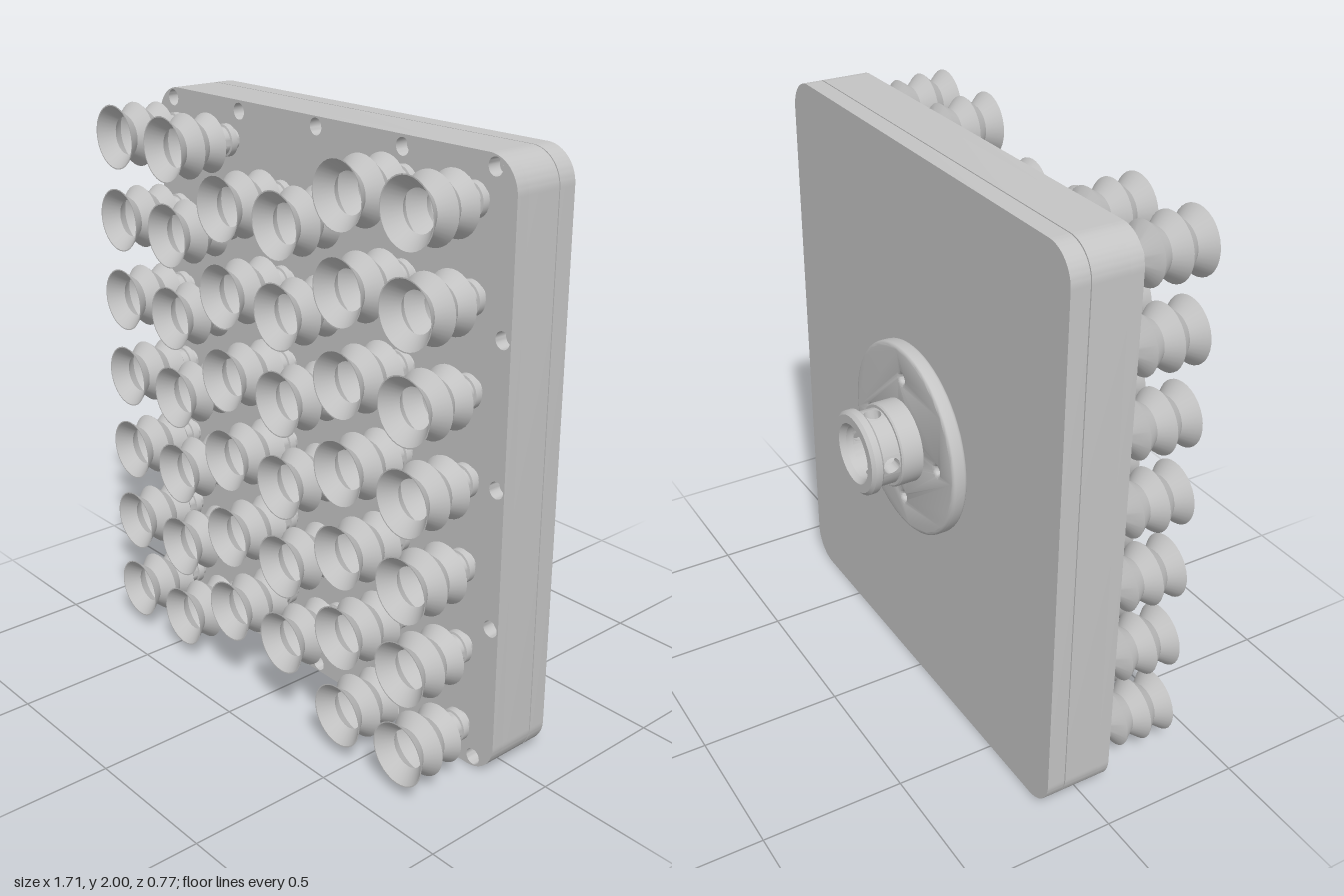
import * as THREE from 'three';
import { toCreasedNormals } from 'three/addons/utils/BufferGeometryUtils.js';

const metal = new THREE.MeshStandardMaterial({ color: 0xc4c4c4 });
const V = (list) => list.map(([r, y]) => new THREE.Vector2(r, y));

function part(name, geometry, parent, x = 0, y = 0, z = 0) {
  const mesh = new THREE.Mesh(geometry, metal);
  mesh.name = name;
  mesh.position.set(x, y, z);
  parent.add(mesh);
  return mesh;
}

const lathe = (points, segments, start = 0, length = Math.PI * 2) =>
  toCreasedNormals(new THREE.LatheGeometry(V(points), segments, start, length), 0.5);

function circleHole(x, y, r) {
  return new THREE.Path().absarc(x, y, r, 0, Math.PI * 2, true);
}

// rounded rectangle slab between two z values, with optional round holes
function slab(halfW, halfH, radius, z0, z1, holes = [], holeR = 0) {
  const s = new THREE.Shape();
  const a = halfW - radius, b = halfH - radius;
  s.absarc(a, b, radius, 0, Math.PI / 2);
  s.absarc(-a, b, radius, Math.PI / 2, Math.PI);
  s.absarc(-a, -b, radius, Math.PI, Math.PI * 1.5);
  s.absarc(a, -b, radius, Math.PI * 1.5, Math.PI * 2);
  s.holes = holes.map(([x, y]) => circleHole(x, y, holeR));
  const g = new THREE.ExtrudeGeometry(s, { depth: z1 - z0, bevelEnabled: false, curveSegments: 12 });
  g.translate(0, 0, z0);
  return toCreasedNormals(g, 0.6);
}

export function createModel() {
  const model = new THREE.Group();
  model.name = 'vacuumGripper';

  // plate: counterbored front layer, body, fine seam and back cover
  const holes = [];
  for (const s of [-1, 1]) {
    holes.push([0, s * 0.967]);
    for (const x of [-0.77, -0.395, 0.395, 0.77]) holes.push([x, s * 0.963]);
    for (const y of [-0.47, 0, 0.47]) holes.push([s * 0.822, y]);
  }
  const plate = new THREE.Group();
  plate.name = 'plate';
  plate.position.y = 1;
  model.add(plate);
  part('plateFront', slab(0.855, 1, 0.11, 0.05, 0.095, holes, 0.028), plate);
  part('plateBody', slab(0.855, 1, 0.11, -0.077, 0.05, holes, 0.016), plate);
  part('plateSeam', slab(0.85, 0.995, 0.105, -0.081, -0.077), plate);
  part('plateCover', slab(0.855, 1, 0.11, -0.145, -0.081), plate);

  // bellows suction cup: outside from stem to lip, then inside back to the floor
  const cup = lathe([
    [0.036, 0.09], [0.036, 0.117], [0.055, 0.117], [0.055, 0.14], [0.048, 0.142],
    [0.048, 0.165], [0.1, 0.199], [0.07, 0.243], [0.109, 0.29], [0.07, 0.334],
    [0.109, 0.382], [0.105, 0.382], [0.064, 0.334], [0.1, 0.29], [0.064, 0.243],
    [0.09, 0.203], [0.046, 0.172], [0.03, 0.172], [0.03, 0.19], [0.016, 0.19],
    [0.016, 0.13], [0, 0.13],
  ], 32);
  cup.rotateX(Math.PI / 2);
  const cups = new THREE.Group();
  cups.name = 'suctionCups';
  model.add(cups);
  [-0.716, -0.43, -0.143, 0.143, 0.43, 0.716].forEach((x, col) => {
    const inner = col === 2 || col === 3;
    for (let row = 0; row < (inner ? 6 : 7); row++) {
      part('suctionCup', cup, cups, x, (inner ? 0.29 : 0.147) + row * 0.2865);
    }
  });

  // round mounting flange with four bolt holes
  const disc = new THREE.Shape().absarc(0, 0, 0.326, 0, Math.PI * 2);
  disc.holes.push(circleHole(0, 0, 0.1));
  for (let i = 0; i < 4; i++) {
    const a = i * Math.PI / 2;
    disc.holes.push(circleHole(Math.cos(a) * 0.23, Math.sin(a) * 0.23, 0.028));
  }
  const flange = new THREE.ExtrudeGeometry(disc, {
    depth: 0.029, bevelThickness: 0.013, bevelSize: 0.013, bevelSegments: 3, curveSegments: 32,
  });
  part('flange', toCreasedNormals(flange, 0.6), model, 0, 1, -0.187);

  // hollow coupling neck, its axis pointing to the back
  const neck = new THREE.Group();
  neck.name = 'neck';
  neck.position.y = 1;
  neck.rotation.x = -Math.PI / 2;
  model.add(neck);
  part('neckBase', lathe([
    [0.092, 0.15], [0.145, 0.15], [0.145, 0.272], [0.14, 0.277], [0.092, 0.277], [0.092, 0.15],
  ], 48), neck);
  part('neckCollar', lathe([
    [0.092, 0.342], [0.138, 0.342], [0.146, 0.35], [0.146, 0.374], [0.135, 0.385],
    [0.105, 0.385], [0.092, 0.365], [0.092, 0.342],
  ], 48), neck);

  // grooved wall: plain arcs alternating with curved panels that have a cross hole
  const R = 0.13, half = 0.28, y0 = 0.277, y1 = 0.342;
  for (let k = 0; k < 4; k++) {
    const mid = k * Math.PI / 2;
    part('grooveWall', lathe([
      [0.092, y0], [R, y0], [R, y1], [0.092, y1], [0.092, y0],
    ], 10, mid + half, Math.PI / 2 - 2 * half), neck);

    const panel = new THREE.Shape();
    const w = half * R;
    for (let i = 0; i <= 6; i++) {
      const s = -w + w * i / 3;
      if (i === 0) panel.moveTo(s, y0); else panel.lineTo(s, y0);
    }
    for (let i = 0; i <= 6; i++) panel.lineTo(w - w * i / 3, y1);
    panel.holes.push(circleHole(0, (y0 + y1) / 2, 0.029));
    const g = new THREE.ExtrudeGeometry(panel, { depth: R - 0.092, bevelEnabled: false, curveSegments: 12 });
    const p = g.attributes.position;
    for (let i = 0; i < p.count; i++) {
      const a = mid + p.getX(i) / R, r = 0.092 + p.getZ(i);
      p.setXYZ(i, r * Math.sin(a), p.getY(i), r * Math.cos(a));
    }
    part('crossHolePanel', toCreasedNormals(g, 0.6), neck);
  }
  return model;
}
